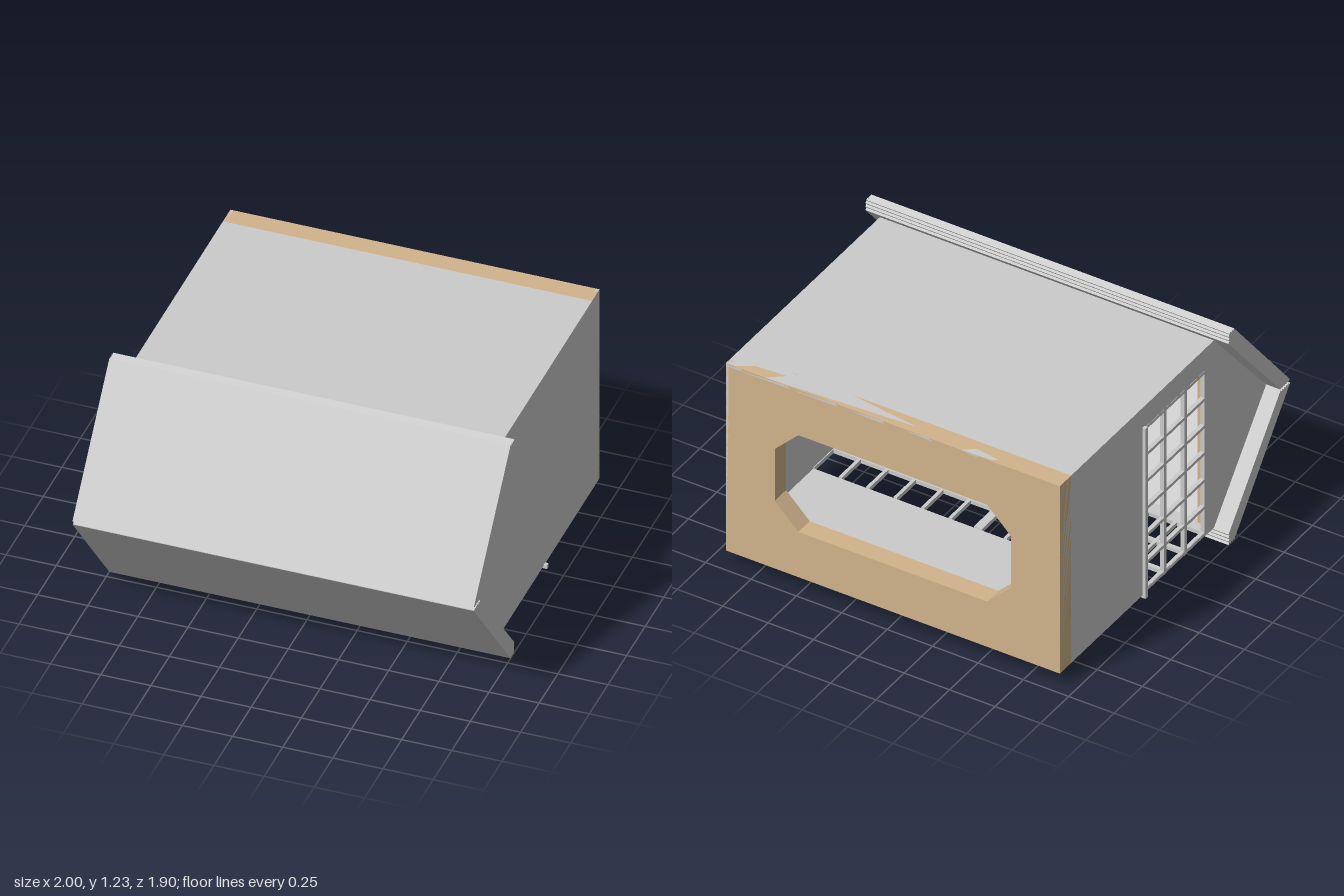
import * as THREE from 'three';

const W = 0.92, Y0 = 0.07, Y1 = 1.155, BACK = -0.95, EAVE = 0.41, MID = 0.6125;
const HOLE0 = -0.2, HOLE1 = 0.35; // mesh opening along z
const BAR = 0.022;

export function createModel() {
  const model = new THREE.Group();
  const grey = new THREE.MeshStandardMaterial({ color: 0xcccccc, flatShading: true });
  const tan = new THREE.MeshStandardMaterial({ color: 0xd2b48c, flatShading: true });

  const add = (name, geometry, material, parent = model) => {
    const mesh = new THREE.Mesh(geometry, material);
    mesh.name = name;
    parent.add(mesh);
    return mesh;
  };
  // box given by its extents
  const box = (name, x0, x1, y0, y1, z0, z1, material, parent) => {
    const mesh = add(name, new THREE.BoxGeometry(x1 - x0, y1 - y0, z1 - z0), material, parent);
    mesh.position.set((x0 + x1) / 2, (y0 + y1) / 2, (z0 + z1) / 2);
    return mesh;
  };
  const toShape = (points) => new THREE.Shape(points.map(([a, b]) => new THREE.Vector2(a, b)));
  // outline in (z, y), swept from x0 to x1
  const profile = (name, points, x0, x1, material) => {
    const g = new THREE.ExtrudeGeometry(toShape(points), { depth: x1 - x0, bevelEnabled: false });
    g.rotateY(-Math.PI / 2);
    g.translate(x1, 0, 0);
    return add(name, g, material);
  };

  // base panel with an eight-sided opening
  const base = toShape([[-W, Y0], [W, Y0], [W, Y1], [-W, Y1]]);
  const a = 0.65, b = 0.28, c = 0.13;
  base.holes.push(new THREE.Path([
    [a, b - c], [a - c, b], [c - a, b], [-a, b - c], [-a, c - b], [c - a, -b], [a - c, -b], [a, c - b],
  ].map(([x, y]) => new THREE.Vector2(x, MID + y))));
  const baseGeometry = new THREE.ExtrudeGeometry(base, { depth: 0.1, bevelEnabled: false });
  baseGeometry.translate(0, 0, BACK);
  add('basePanel', baseGeometry, tan);

  // gabled side walls, the right one cut out for the mesh
  const T = 0.015;
  const gable = [[EAVE, Y0], [0.87, MID], [EAVE, Y1], [BACK, Y1], [BACK, Y0]];
  profile('leftWall', gable, W - T, W, grey);
  profile('rightWall', [...gable, [HOLE0, Y0], [HOLE0, 1.03], [HOLE1, 1.03], [HOLE1, Y0]], -W, -W + T, grey);

  // long walls, the lower one open for the mesh
  box('upperWall', -W, W, Y1 - T, Y1, BACK, EAVE, grey);
  box('lowerWall', -W, W, Y0, Y0 + T, BACK, HOLE0, grey);
  box('lowerWallLip', -W, W, Y0, Y0 + T, HOLE1, EAVE, grey);

  // wooden gable liners inside the roof
  for (const s of [-1, 1]) {
    const x = s * (W - T - 0.025);
    profile('gableLiner', [[0.37, 0.1], [0.42, 0.1], [0.84, MID], [0.42, Y1 - 0.04], [0.37, Y1 - 0.04]],
      x - 0.025, x + 0.025, tan);
  }

  // ridged edge running from p towards q, grooved on its left
  const ridged = (p, q, teeth, depth) => {
    const out = [], dx = q[0] - p[0], dy = q[1] - p[1], len = Math.hypot(dx, dy);
    for (let i = 0; i < teeth * 2; i++) {
      const t = i / (teeth * 2), d = i % 2 ? depth : 0;
      out.push([p[0] + dx * t - (dy / len) * d, p[1] + dy * t + (dx / len) * d]);
    }
    return out;
  };
  const slab = [
    ...ridged([0.87, 0.615], [0.955, 0.615], 5, 0.01),
    [0.955, 0.622],
    ...ridged([0.46, 1.225], [0.41, 1.225], 3, 0.008),
    ...ridged([0.41, 1.225], [0.41, 1.165], 3, 0.008),
    [0.41, 1.165],
  ];
  profile('upperRoof', slab, -1, 1, grey);
  profile('lowerRoof', slab.map(([z, y]) => [z, 2 * MID - y]), -1, 1, grey);

  // mesh across the lower wall
  const lowerMesh = new THREE.Group();
  lowerMesh.name = 'lowerMesh';
  model.add(lowerMesh);
  const h = BAR / 2;
  const columns = 12, rows = 3, sideRows = 6;
  for (let i = 0; i <= columns; i++) {
    const x = -W + h + ((2 * W - BAR) * i) / columns;
    const w = i === columns / 2 ? BAR : h * 0.8;
    box('crossBar', x - w, x + w, Y0, Y0 + BAR, HOLE0, HOLE1, grey, lowerMesh);
  }
  for (let i = 1; i <= rows; i++) {
    const z = HOLE0 + ((HOLE1 - HOLE0 - h) * i) / rows;
    box('longBar', -W, W, Y0, Y0 + BAR, z - h, z + h, grey, lowerMesh);
  }
  box('frameBar', -0.937, 0.937, 0.055, Y0 + 0.006, -0.22, HOLE0, grey, lowerMesh);

  // mesh across the right wall
  const sideMesh = new THREE.Group();
  sideMesh.name = 'sideMesh';
  model.add(sideMesh);
  for (let i = 1; i <= rows; i++) {
    const z = HOLE0 + ((HOLE1 - HOLE0 - h) * i) / rows;
    box('upright', -W, -W + BAR, Y0, 1.03, z - h, z + h, grey, sideMesh);
  }
  for (let i = 0; i <= sideRows; i++) {
    const y = Y0 + h + ((1.03 - Y0 - BAR) * i) / sideRows;
    box('rung', -W, -W + BAR, y - h * 0.8, y + h * 0.8, HOLE0, HOLE1, grey, sideMesh);
  }
  box('frameUpright', -0.937, -W + 0.006, 0.055, 1.04, -0.22, HOLE0, grey, sideMesh);

  return model;
}
